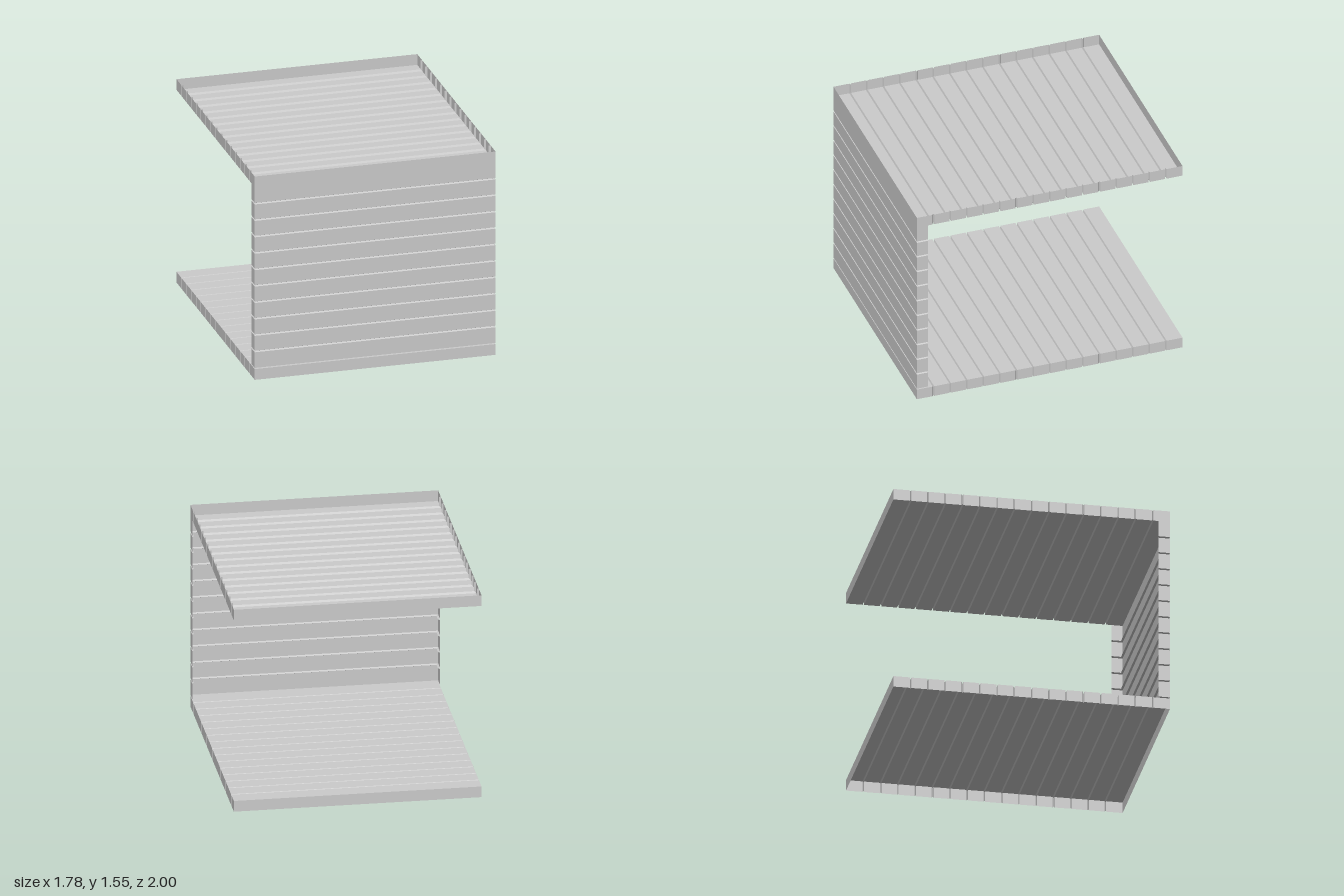
import * as THREE from 'three';

const HALF = 0.89;    // half width
const RIM = 0.082;    // rim depth
const PITCH = 0.125;  // one slat
const GROOVE = 0.006; // half width of a groove
const INSET = 0.014;  // depth of a groove

const material = new THREE.MeshStandardMaterial({ color: 0xcccccc, flatShading: true, side: THREE.DoubleSide });

// Shallow slatted tray: sheet at z = 0, slats stacked up y, open towards -z
function trayGeometry(slats) {
  const positions = [];
  const quad = (a, b, c, d) => [a, b, c, a, c, d].forEach((p) => positions.push(...p));
  // U-shaped section across the width, pulled inwards at the grooves
  const section = (y, inset) => {
    const w = HALF - inset;
    return [[-w, y, -RIM], [-w, y, -inset], [w, y, -inset], [w, y, -RIM]];
  };

  const rows = [section(0, 0)];
  for (let i = 1; i < slats; i++) {
    const y = i * PITCH;
    rows.push(section(y - GROOVE, 0), section(y, INSET), section(y + GROOVE, 0));
  }
  rows.push(section(slats * PITCH, 0));

  for (let r = 0; r < rows.length - 1; r++) {
    const a = rows[r], b = rows[r + 1];
    for (let k = 0; k < 3; k++) quad(a[k], a[k + 1], b[k + 1], b[k]);
  }
  // rims along the first and last slat
  const first = rows[0], last = rows[rows.length - 1];
  quad(first[0], first[3], first[2], first[1]);
  quad(last[0], last[1], last[2], last[3]);

  const geometry = new THREE.BufferGeometry();
  geometry.setAttribute('position', new THREE.Float32BufferAttribute(positions, 3));
  geometry.computeVertexNormals();
  return geometry;
}

export function createModel() {
  const group = new THREE.Group();
  const addPanel = (name, slats, y, z, turn) => {
    const mesh = new THREE.Mesh(trayGeometry(slats), material);
    mesh.name = name;
    mesh.position.set(0, y, z);
    mesh.rotation.x = turn;
    group.add(mesh);
  };

  addPanel('floorPanel', 16, RIM, 1, -Math.PI / 2);   // opens downwards
  addPanel('frontPanel', 11, 0.091, 1, 0);            // opens to the back
  addPanel('roofPanel', 16, 1.466, -1, Math.PI / 2);  // opens upwards
  return group;
}
